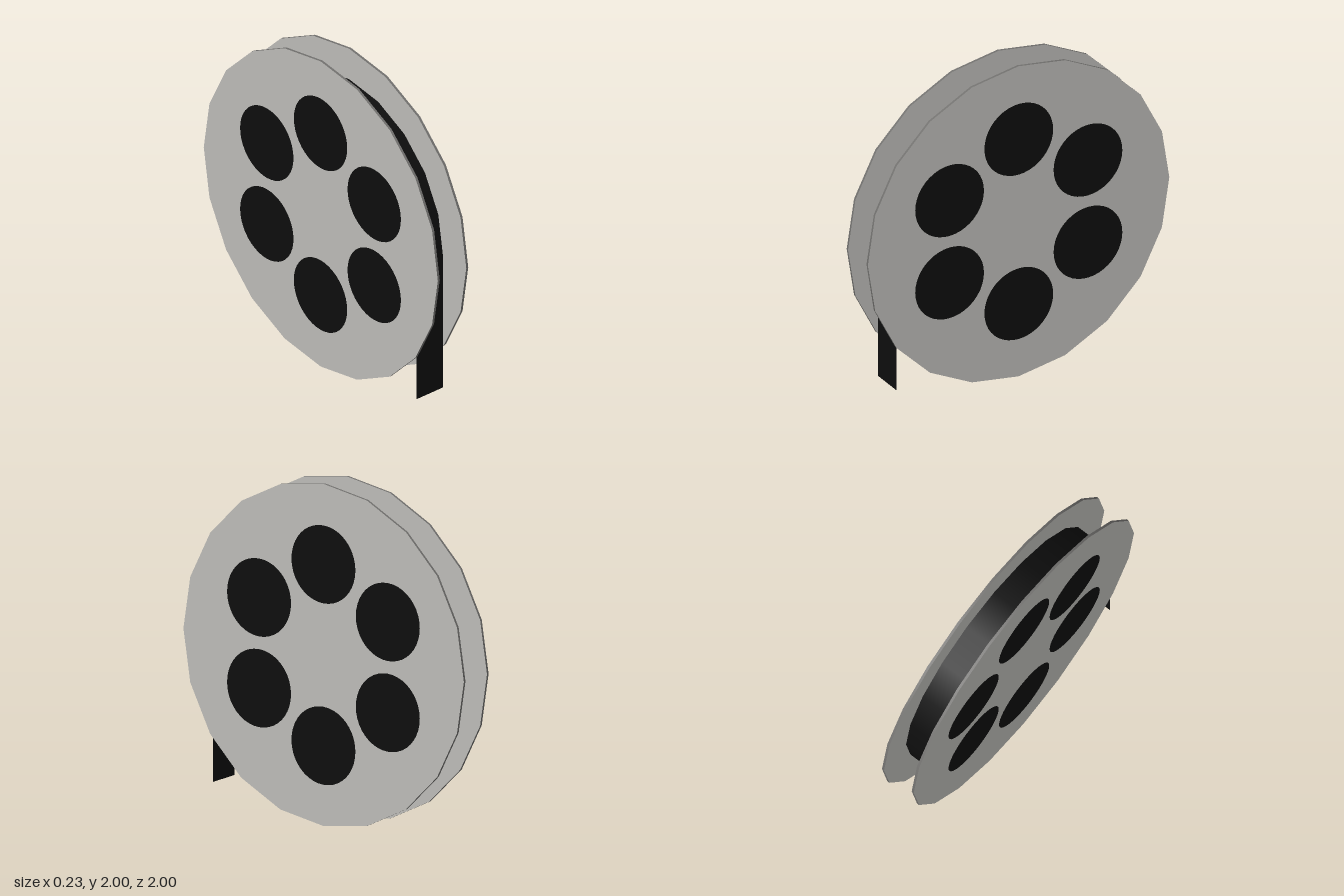
import * as THREE from 'three';

const SIDES = 20, HALF_WIDTH = 0.1, FLANGE = 0.015, CENTRE_Y = 1;

function material(name, color, side = THREE.FrontSide) {
  const m = new THREE.MeshStandardMaterial({ color, side });
  m.name = name;
  return m;
}

export function createModel() {
  const metal = material('light grey metal', 0xbcbbb7);
  const rim = material('dark grey rim', 0x72716f);
  const black = material('black film', 0x0d0d0d, THREE.DoubleSide);

  const model = new THREE.Group();
  model.name = 'filmReel';

  const add = (name, geometry, mat, x, y, z, parent = model) => {
    const mesh = new THREE.Mesh(geometry, mat);
    mesh.name = name;
    mesh.position.set(x, y, z);
    parent.add(mesh);
    return mesh;
  };

  // Cylinder lying along the x axis, with a corner at the top
  const disc = (radius, width) =>
    new THREE.CylinderGeometry(radius, radius, width, SIDES).rotateZ(-Math.PI / 2);

  // Wound film between the flanges
  add('woundFilm', disc(0.8, HALF_WIDTH * 2), black, 0, CENTRE_Y, 0);

  // Two mirrored flanges, each with a ring of six round openings
  for (const side of [-1, 1]) {
    const flange = new THREE.Group();
    flange.name = side > 0 ? 'leftFlange' : 'rightFlange';
    flange.position.set(side * (HALF_WIDTH + FLANGE / 2), CENTRE_Y, 0);
    model.add(flange);
    add('flangePlate', disc(1, FLANGE), [rim, metal, metal], 0, 0, 0, flange);

    const opening = new THREE.CircleGeometry(0.228, 40).rotateY(side * Math.PI / 2);
    for (let i = 0; i < 6; i++) {
      const a = i * Math.PI / 3;
      add('opening', opening, black,
        side * (FLANGE / 2 + 0.002), 0.53 * Math.cos(a), 0.53 * Math.sin(a), flange);
    }
  }

  // Loose end of the film hanging straight down at the front
  const top = CENTRE_Y, bottom = 0.13;
  add('looseFilmEnd', new THREE.PlaneGeometry(HALF_WIDTH * 2, top - bottom), black,
    0, (top + bottom) / 2, 0.8);

  return model;
}
